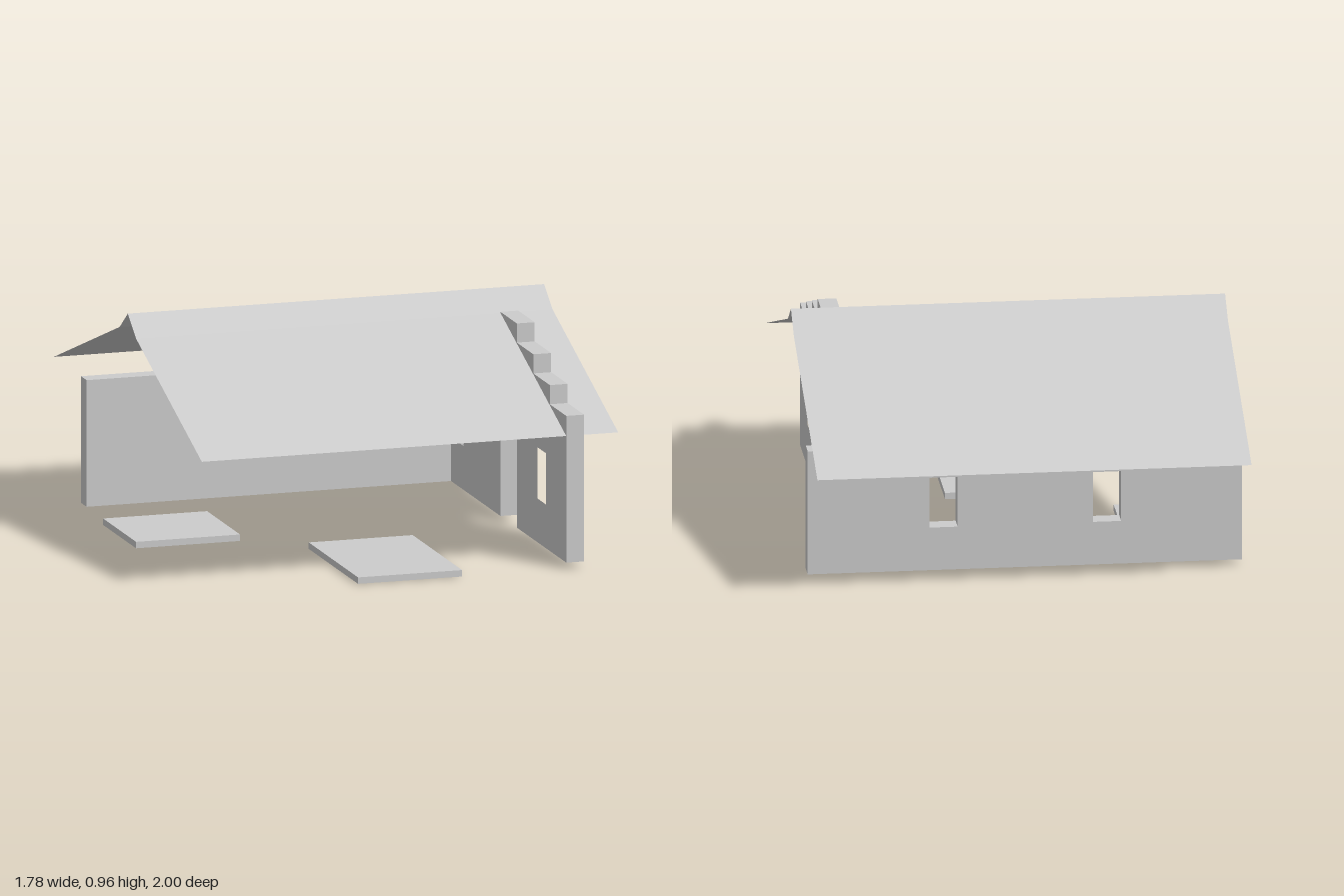
import * as THREE from 'three';

const plaster = new THREE.MeshStandardMaterial({ color: 0xcccccc });
plaster.name = 'paleGrey';
const roofing = plaster.clone();
roofing.name = 'paleGreySheet';
roofing.side = THREE.DoubleSide;

const BASE = 0.027, EAVE = 0.556, STEP = 2 / 9, THICK = 0.076;
const HALF = 0.889;

// Rectangular opening for a wall outline
function opening(x0, x1, y0, y1) {
  return new THREE.Path([[x0, y0], [x0, y1], [x1, y1], [x1, y0]].map(p => new THREE.Vector2(...p)));
}

function wallGeometry(points, windows) {
  const shape = new THREE.Shape(points.map(p => new THREE.Vector2(...p)));
  for (const [a, b] of windows) shape.holes.push(opening(a, b, 0.21, 0.424));
  return new THREE.ExtrudeGeometry(shape, { depth: THICK, bevelEnabled: false });
}

export function createModel() {
  const group = new THREE.Group();
  const add = (name, geometry, material = plaster) => {
    const mesh = new THREE.Mesh(geometry, material);
    mesh.name = name;
    group.add(mesh);
    return mesh;
  };

  // Stepped gable wall with a doorway; outline runs from front to back
  const gable = [[-1, BASE]];
  [0.64, 0.72, 0.8, 0.88, 0.8, 0.72, 0.64].forEach((top, i) => {
    gable.push([-1 + i * STEP, top], [-1 + (i + 1) * STEP, top]);
  });
  gable.push([0.556, BASE], [-0.111, BASE], [-0.111, EAVE], [-0.334, EAVE], [-0.334, BASE]);
  const sideWall = wallGeometry(gable, [[-0.727, -0.614], [0.386, 0.5]]);
  sideWall.rotateY(Math.PI / 2);
  add('gableWall', sideWall).position.x = 0.667;

  // Long back wall with two windows
  const back = [[-HALF, BASE], [HALF, BASE], [HALF, EAVE], [-HALF, EAVE]];
  add('backWall', wallGeometry(back, [[-0.395, -0.28], [0.275, 0.39]])).position.z = -0.556 - THICK;

  // Thin roof sheet, steeper along the ridge
  const profile = [[1, 0.556], [0.111, 0.876], [0, 0.956], [-0.111, 0.876], [-1, 0.556]];
  const pos = [];
  for (let i = 0; i < profile.length - 1; i++) {
    const [z0, y0] = profile[i], [z1, y1] = profile[i + 1];
    const a = [-HALF, y0, z0], b = [HALF, y0, z0], c = [HALF, y1, z1], d = [-HALF, y1, z1];
    pos.push(...a, ...b, ...c, ...a, ...c, ...d);
  }
  const roof = new THREE.BufferGeometry();
  roof.setAttribute('position', new THREE.Float32BufferAttribute(pos, 3));
  roof.computeVertexNormals();
  add('roof', roof, roofing);

  // Two floor slabs
  for (const [name, x, z] of [['frontSlab', 0, 0.667], ['innerSlab', -0.667, -0.111]]) {
    add(name, new THREE.BoxGeometry(0.444, BASE, 0.667 * (name === 'frontSlab' ? 1 : 0.667)))
      .position.set(x, BASE / 2, z);
  }
  return group;
}
